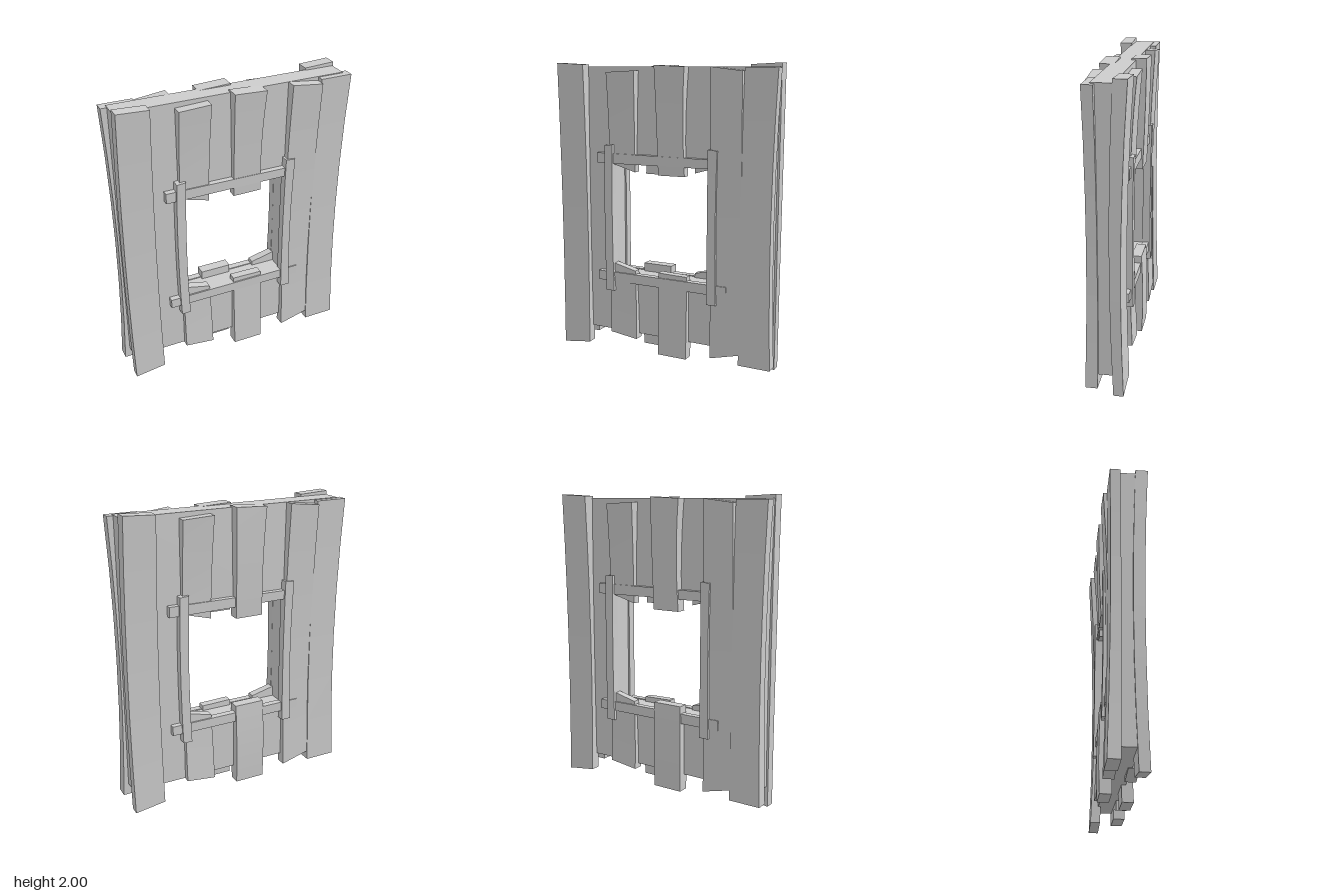
import * as THREE from 'three';

const wood = new THREE.MeshStandardMaterial({ color: 0xcccccc });
wood.name = 'bare wood';
wood.flatShading = true;

// Value of a quadratic through bottom, middle and top
const bend = ([a, b, c], t) =>
  a * (1 - t) * (1 - 2 * t) + b * 4 * t * (1 - t) + c * t * (2 * t - 1);

// Warped plank: each of left, right, inner, outer is [bottom, middle, top];
// low and high are the y of the [left, right] corners of its cut ends.
function plank(name, { left, right, inner, outer, low, high }) {
  const geo = new THREE.BoxGeometry(1, 1, 1, 1, 6, 1);
  const p = geo.attributes.position;
  for (let i = 0; i < p.count; i++) {
    const t = p.getY(i) + 0.5;
    const s = p.getX(i) > 0 ? 1 : 0;
    const x = bend(s ? right : left, t);
    const y = THREE.MathUtils.lerp(low[s], high[s], t);
    const z = bend(p.getZ(i) > 0 ? outer : inner, t);
    p.setXYZ(i, x, y, z);
  }
  geo.computeVertexNormals();
  const mesh = new THREE.Mesh(geo, wood);
  mesh.name = name;
  return mesh;
}

// Planks and window trim of one face of the wall
function createFace(name, isBack) {
  const face = new THREE.Group();
  face.name = name;
  const add = (n, spec) => face.add(plank(n, spec));
  const inner = [0.04, 0.035, 0.04];
  const lift = isBack ? 0.015 : 0;

  // Full-height planks
  add('outerLeftPlank', {
    left: [-0.77, -0.775, -0.765], right: [-0.56, -0.565, -0.56],
    inner: [0.055, 0.035, 0.06], outer: [0.12, 0.106, isBack ? 0.145 : 0.14],
    low: [0.0, 0.03], high: [2.0, 1.99],
  });
  add('innerRightPlank', {
    left: [0.375, 0.365, 0.37], right: [0.58, 0.575, 0.58],
    inner, outer: [0.11, 0.097, 0.133],
    low: [0.07, 0.125], high: [1.975, 1.95],
  });
  add('outerRightPlank', {
    left: [0.58, 0.57, 0.585], right: [0.797, 0.773, 0.8],
    inner, outer: [0.118, 0.1, 0.108],
    low: [0.06, 0.06], high: [1.97, 1.97],
  });

  // Short planks above the window
  add('upperLeftPlank', {
    left: [-0.385, -0.385, -0.385], right: [-0.19, -0.185, -0.175],
    inner, outer: [0.095, 0.108, 0.133],
    low: [1.335, 1.28], high: [1.94, 1.95],
  });
  add('upperMiddlePlank', {
    left: [-0.015, -0.02, -0.025], right: [0.178, 0.172, 0.19],
    inner, outer: [0.097 + lift, 0.112 + lift, 0.135],
    low: isBack ? [1.255, 1.255] : [1.27, 1.272], high: [1.985, 1.975],
  });

  // Short planks below the window
  add('lowerLeftPlank', {
    left: [-0.385, -0.385, -0.385], right: [-0.18, -0.185, -0.195],
    inner, outer: [0.11, 0.1, 0.094],
    low: [0.135, 0.11], high: [0.64, 0.595],
  });
  add('lowerMiddlePlank', {
    left: [-0.01, -0.012, -0.015], right: [0.2, 0.2, 0.195],
    inner, outer: [0.115, 0.105 + lift, 0.095 + lift],
    low: [0.03, 0.03], high: isBack ? [0.622, 0.622] : [0.605, 0.6],
  });

  // Window trim bars
  const barInner = [0.06, 0.06, 0.06];
  const barOuter = [0.105, 0.105, 0.105];
  add('upperTrimBar', {
    left: [-0.48, -0.48, -0.48], right: [0.36, 0.36, 0.36],
    inner: barInner, outer: barOuter, low: [1.33, 1.335], high: [1.4, 1.395],
  });
  add('lowerTrimBar', {
    left: [-0.48, -0.48, -0.48], right: [0.48, 0.48, 0.48],
    inner: barInner, outer: barOuter, low: [0.505, 0.505], high: [0.57, 0.572],
  });
  add('leftTrimBar', {
    left: [-0.412, -0.42, -0.412], right: [-0.35, -0.36, -0.35],
    inner: barInner, outer: [0.12, 0.116, 0.12], low: [0.44, 0.44], high: [1.455, 1.46],
  });
  add('rightTrimBar', {
    left: [0.35, 0.348, 0.35], right: [0.415, 0.405, 0.415],
    inner: barInner, outer: [0.12, 0.114, 0.12], low: [0.44, 0.44], high: [1.46, 1.455],
  });
  return face;
}

// Solid core with the window opening
function createCore() {
  const rect = (target, x, y0, y1) => {
    target.moveTo(-x, y0);
    target.lineTo(x, y0);
    target.lineTo(x, y1);
    target.lineTo(-x, y1);
    target.closePath();
    return target;
  };
  const shape = rect(new THREE.Shape(), 0.76, 0.14, 1.975);
  shape.holes.push(rect(new THREE.Path(), 0.36, 0.565, 1.34));
  const geo = new THREE.ExtrudeGeometry(shape, { depth: 0.134, bevelEnabled: false });
  geo.translate(0, 0, -0.068);
  const core = new THREE.Mesh(geo, wood);
  core.name = 'wallCore';
  return core;
}

export function createModel() {
  const model = new THREE.Group();
  model.name = 'plankWallWithWindow';
  const back = createFace('backFace', true);
  back.rotation.y = Math.PI;
  model.add(createCore(), createFace('frontFace', false), back);
  return model;
}
